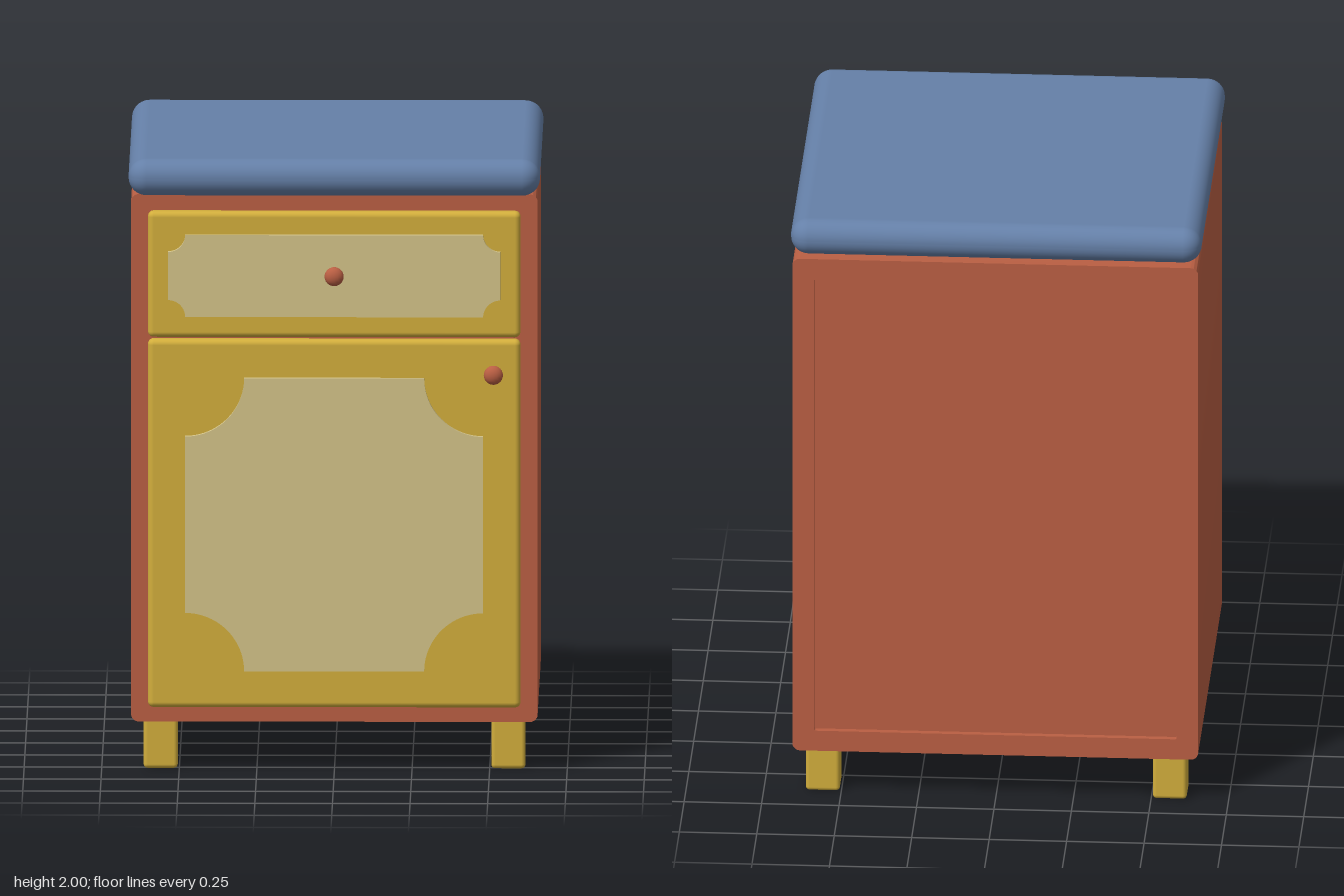
import * as THREE from 'three';
import { toCreasedNormals } from 'three/addons/utils/BufferGeometryUtils.js';
import { RoundedBoxGeometry } from 'three/addons/geometries/RoundedBoxGeometry.js';

const mat = (name, color) => Object.assign(new THREE.MeshStandardMaterial({ color }), { name });

// Rectangle with outward rounded corners
function roundedRect(x0, y0, x1, y1, r) {
  const s = new THREE.Shape();
  s.absarc(x1 - r, y0 + r, r, -Math.PI / 2, 0);
  s.absarc(x1 - r, y1 - r, r, 0, Math.PI / 2);
  s.absarc(x0 + r, y1 - r, r, Math.PI / 2, Math.PI);
  s.absarc(x0 + r, y0 + r, r, Math.PI, Math.PI * 1.5);
  s.closePath();
  return s;
}

// Rectangle with scooped, concave corners
function scoopedRect(x0, y0, x1, y1, r) {
  const s = new THREE.Shape();
  s.absarc(x0, y0, r, Math.PI / 2, 0, true);
  s.absarc(x1, y0, r, Math.PI, Math.PI / 2, true);
  s.absarc(x1, y1, r, Math.PI * 1.5, Math.PI, true);
  s.absarc(x0, y1, r, 0, -Math.PI / 2, true);
  s.closePath();
  return s;
}

// Extrude a front-facing shape between two depths
function slab(shape, z0, z1) {
  const g = new THREE.ExtrudeGeometry(shape, { depth: z1 - z0, bevelEnabled: false, curveSegments: 10 });
  return toCreasedNormals(g.translate(0, 0, z0), 0.6);
}

// Rounded box given by its limits
function roundedBox(x0, x1, y0, y1, z0, z1, r) {
  const g = new RoundedBoxGeometry(x1 - x0, y1 - y0, z1 - z0, 4, r);
  return g.translate((x0 + x1) / 2, (y0 + y1) / 2, (z0 + z1) / 2);
}

export function createModel() {
  const model = new THREE.Group();
  model.name = 'bedsideCabinet';
  const red = mat('terracotta', 0xba5f43);
  const yellow = mat('mustard', 0xd2ae3c);
  const blue = mat('slateBlue', 0x6580a8);
  const cream = mat('sand', 0xd3c388);

  const add = (name, geometry, material, parent = model) => {
    const mesh = new THREE.Mesh(geometry, material);
    mesh.name = name;
    parent.add(mesh);
    return mesh;
  };

  // Carcass with a shallow recess in the back
  add('carcass', slab(roundedRect(-0.655, 0.16, 0.655, 1.88, 0.025), -0.66, 0.57), red);
  const frame = roundedRect(-0.655, 0.16, 0.655, 1.88, 0.025);
  frame.holes.push(roundedRect(-0.585, 0.23, 0.585, 1.81, 0.005));
  add('backFrame', slab(frame, -0.68, -0.66), red);

  // Cushioned worktop
  add('top', roundedBox(-0.663, 0.663, 1.88, 2, -0.68, 0.65, 0.058), blue);

  // Drawer and door with raised panels
  add('drawerFront', roundedBox(-0.6, 0.6, 1.42, 1.83, 0.57, 0.622, 0.018), yellow);
  add('drawerPanel', slab(scoopedRect(-0.535, 1.49, 0.535, 1.757, 0.055), 0.615, 0.64), cream);
  add('door', roundedBox(-0.6, 0.6, 0.213, 1.413, 0.57, 0.622, 0.018), yellow);
  add('doorPanel', slab(scoopedRect(-0.48, 0.335, 0.48, 1.29, 0.19), 0.615, 0.64), cream);

  // Knobs: squashed ball on a short stem
  for (const [name, x, y] of [['drawerKnob', 0, 1.625], ['doorKnob', 0.513, 1.304]]) {
    const knob = new THREE.Group();
    knob.name = name;
    knob.position.set(x, y, 0);
    const ball = new THREE.SphereGeometry(0.031, 16, 12).scale(1, 1, 0.75);
    add(name + 'Ball', ball.translate(0, 0, 0.657), red, knob);
    const stem = new THREE.CylinderGeometry(0.013, 0.013, 0.04, 12).rotateX(Math.PI / 2);
    add(name + 'Stem', stem.translate(0, 0, 0.633), red, knob);
    model.add(knob);
  }

  // Four square legs
  for (const x of [-0.56, 0.56]) {
    for (const z of [-0.58, 0.47]) {
      const name = (z > 0 ? 'front' : 'back') + (x > 0 ? 'Left' : 'Right') + 'Leg';
      add(name, roundedBox(x - 0.055, x + 0.055, 0, 0.175, z - 0.055, z + 0.055, 0.013), yellow);
    }
  }
  return model;
}
